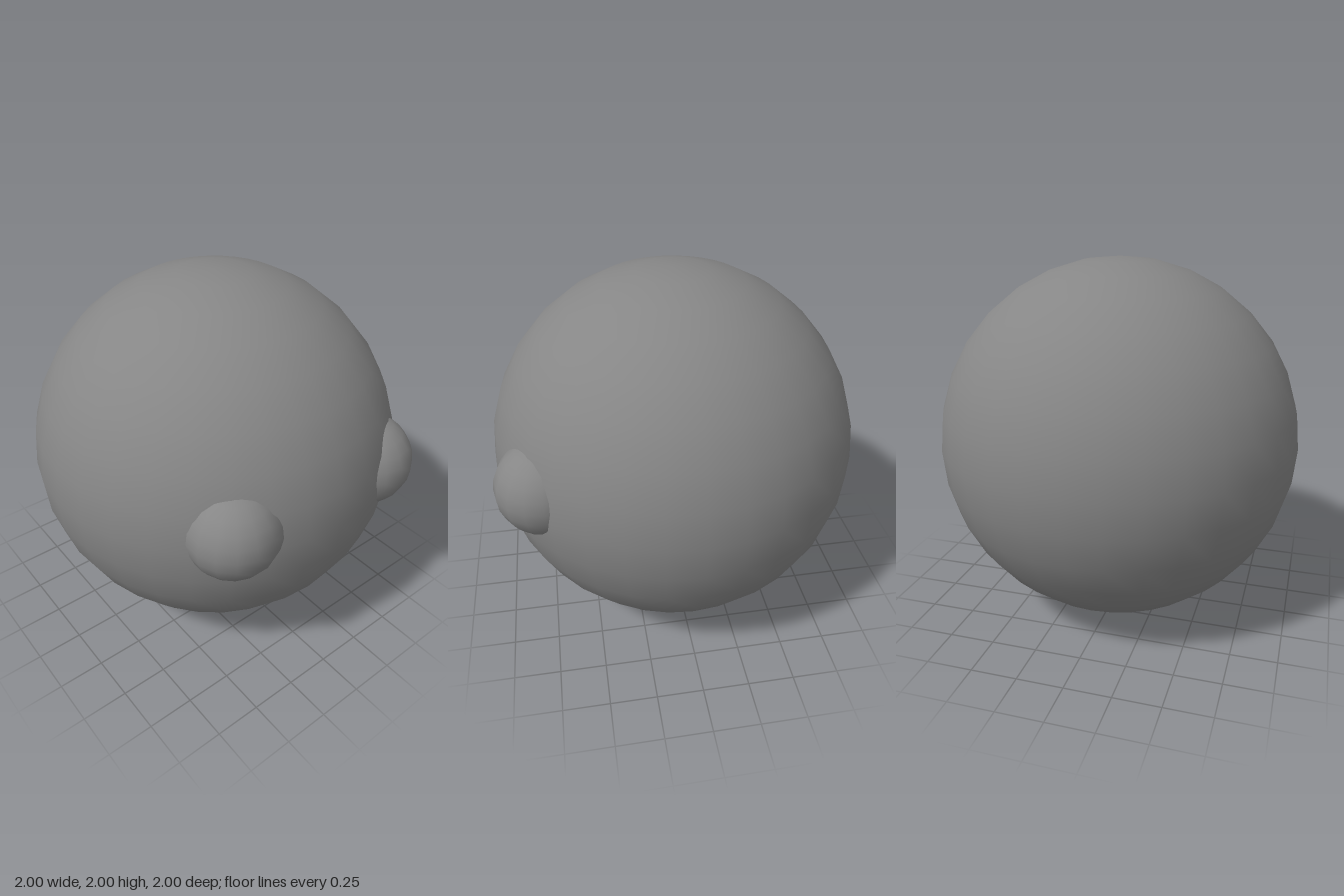
import * as THREE from 'three';

export function createModel() {
  const group = new THREE.Group();
  const material = new THREE.MeshStandardMaterial({ color: 0x868686 });

  function addBall(name, radius, segments, rings, x, y, z) {
    const mesh = new THREE.Mesh(new THREE.SphereGeometry(radius, segments, rings), material);
    mesh.name = name;
    mesh.position.set(x, y, z);
    group.add(mesh);
    return mesh;
  }

  // Large round body
  addBall('body', 1, 32, 16, 0, 1, 0);

  // Two small balls sunk into the front as eyes
  addBall('leftEye', 0.25, 16, 12, 0.45, 1.058, 0.735);
  addBall('rightEye', 0.25, 16, 12, -0.465, 1.058, 0.732).rotation.y = Math.PI / 16;

  return group;
}
